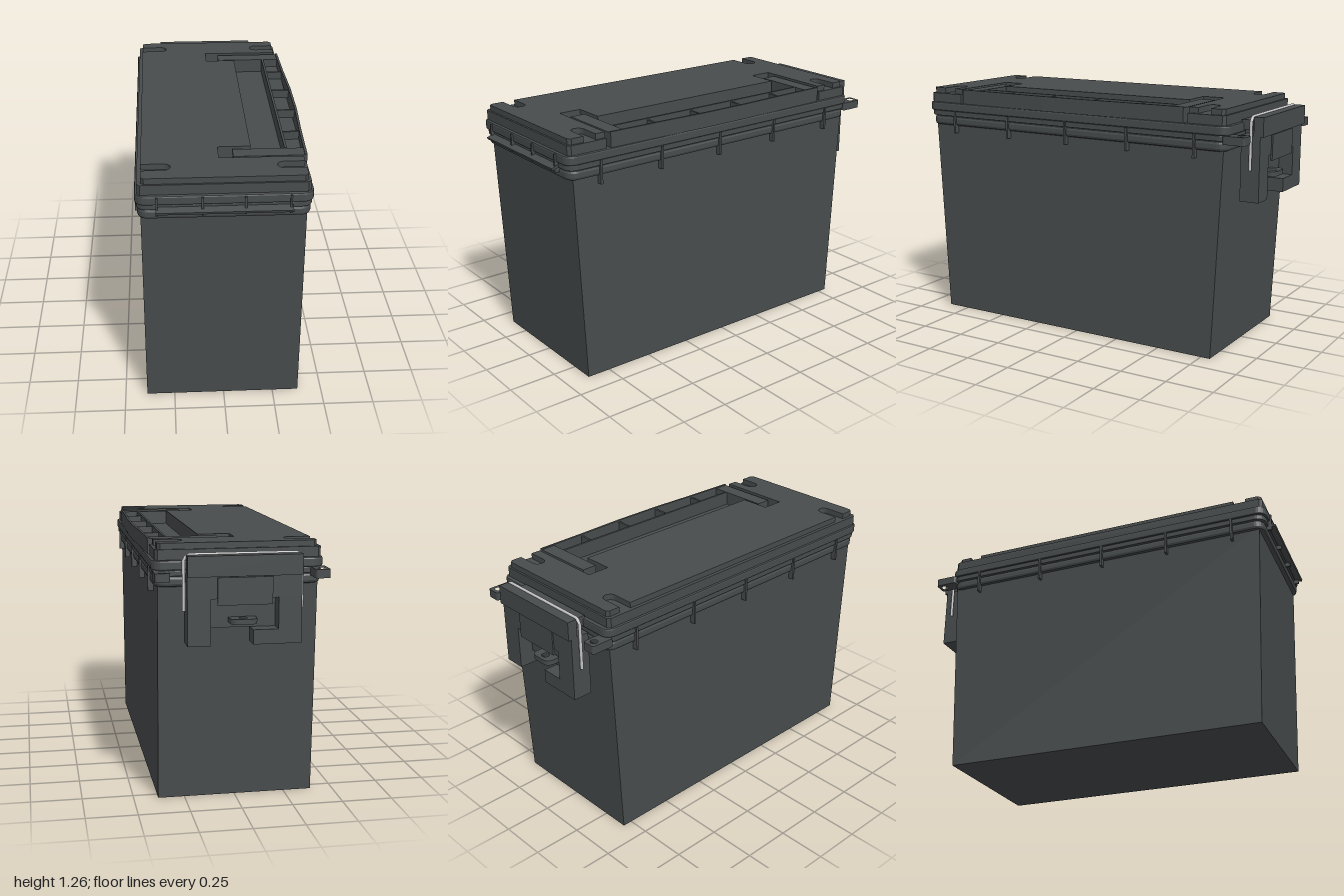
import * as THREE from 'three';

export function createModel() {
  const model = new THREE.Group();
  const plastic = new THREE.MeshStandardMaterial({ color: 0x484c4d });
  plastic.name = 'dark grey plastic';
  const steel = new THREE.MeshStandardMaterial({ color: 0xc8c8c8 });
  steel.name = 'bright steel';

  const add = (name, geometry, parent = model, material = plastic) => {
    const mesh = new THREE.Mesh(geometry, material);
    mesh.name = name;
    parent.add(mesh);
    return mesh;
  };
  const group = (name) => {
    const g = new THREE.Group();
    g.name = name;
    model.add(g);
    return g;
  };
  // box given by its limits
  const box = (name, x0, x1, y0, y1, z0, z1, parent) => {
    const m = add(name, new THREE.BoxGeometry(x1 - x0, y1 - y0, z1 - z0), parent);
    m.position.set((x0 + x1) / 2, (y0 + y1) / 2, (z0 + z1) / 2);
    return m;
  };
  // horizontal slab from an (x, z) outline
  const slab = (name, pts, y0, y1, bevel = 0, parent = model, holes = []) => {
    const flip = (list) => list.map(([x, z]) => new THREE.Vector2(x, -z));
    const shape = new THREE.Shape(flip(pts));
    holes.forEach((h) => shape.holes.push(new THREE.Path(flip(h))));
    const geo = new THREE.ExtrudeGeometry(shape, {
      depth: y1 - y0 - 2 * bevel, bevelEnabled: bevel > 0, bevelThickness: bevel,
      bevelSize: bevel, bevelOffset: -bevel, bevelSegments: 2,
    });
    geo.rotateX(-Math.PI / 2).translate(0, y0 + bevel, 0);
    return add(name, geo, parent);
  };
  const arc = (cx, cz, r, a0, a1, n = 6) => Array.from({ length: n + 1 }, (_, i) => {
    const a = a0 + ((a1 - a0) * i) / n;
    return [cx + r * Math.cos(a), cz + r * Math.sin(a)];
  });
  const rounded = (x0, x1, z0, z1, r) => {
    const q = Math.PI / 2;
    return [
      ...arc(x1 - r, z1 - r, r, 0, q), ...arc(x0 + r, z1 - r, r, q, 2 * q),
      ...arc(x0 + r, z0 + r, r, 2 * q, 3 * q), ...arc(x1 - r, z0 + r, r, 3 * q, 4 * q),
    ];
  };

  // body, tapered towards the base along z
  const body = new THREE.BoxGeometry(0.77, 1.08, 1);
  body.translate(-0.005, 0.54, 0);
  const p = body.attributes.position;
  for (let i = 0; i < p.count; i++) {
    const t = p.getY(i) / 1.08;
    p.setZ(i, p.getZ(i) > 0 ? 0.875 + 0.05 * t : -0.8 - 0.05 * t);
  }
  body.computeVertexNormals();
  add('body', body);

  // stacked rim and lid skirt
  slab('bodyRim', rounded(-0.405, 0.397, -0.868, 0.95, 0.05), 1.06, 1.112, 0.015);
  slab('rimSeam', rounded(-0.41, 0.402, -0.874, 0.957, 0.05), 1.112, 1.14, 0.004);
  slab('lidSkirt', rounded(-0.416, 0.408, -0.88, 0.966, 0.05), 1.14, 1.187, 0.008);

  // raised lid deck, cut away around the carrying handle
  const cutout = (x1) => [
    [x1, -0.66], [-0.02, -0.66], [-0.02, -0.54], [0.14, -0.54],
    [0.14, 0.62], [-0.02, 0.62], [-0.02, 0.74], [x1, 0.74],
  ];
  const slot = (x, zc, dir) => {
    const s = Math.sign(x), r = 0.033, cx = s * 0.28;
    const mid = arc(0, 0, r, -Math.PI / 2, Math.PI / 2, 8).map(([a, b]) => [cx - s * a, zc + b]);
    const pts = [[x, zc - r], ...mid, [x, zc + r]];
    return dir > 0 ? pts : pts.reverse();
  };
  const deck = (x0, x1, z0, z1, slots) => {
    const c = 0.015;
    return [
      [x0, z0 + c], [x0 + c, z0], [x1 - c, z0], [x1, z0 + c],
      ...(slots ? slot(x1, -0.745, 1) : []), ...cutout(x1), ...(slots ? slot(x1, 0.825, 1) : []),
      [x1, z1 - c], [x1 - c, z1], [x0 + c, z1], [x0, z1 - c],
      ...(slots ? [...slot(x0, 0.825, -1), ...slot(x0, -0.745, -1)] : []),
    ];
  };
  slab('lidDeckLower', deck(-0.404, 0.393, -0.86, 0.95, false), 1.187, 1.236);
  slab('lidDeckUpper', deck(-0.386, 0.38, -0.85, 0.94, true), 1.236, 1.265);

  // folding handle: ribbed channel with two arms
  const handle = group('handle');
  const bow = (off) => [[0.4, -0.64], [0.406, -0.36], [0.416, -0.1], [0.416, 0.18], [0.406, 0.44], [0.4, 0.72]]
    .map(([x, z]) => [x - off, z]);
  slab('handleOuterWall', [...bow(0), ...bow(0.012).reverse()], 1.187, 1.265, 0, handle);
  box('handleInnerWall', 0.3, 0.312, 1.187, 1.262, -0.56, 0.64, handle);
  box('handleFloor', 0.31, 0.395, 1.187, 1.215, -0.6, 0.68, handle);
  for (const z of [-0.37, -0.1, 0.17, 0.44]) {
    box('handleRib', 0.31, 0.404, 1.21, 1.256, z - 0.006, z + 0.006, handle);
  }
  for (const z of [-0.6, 0.68]) {
    box('handleArm', 0.05, 0.4, 1.187, 1.26, z - 0.04, z + 0.04, handle);
    box('handlePivot', -0.015, 0.06, 1.187, 1.21, z - 0.02, z + 0.02, handle);
  }

  // stiffening ribs under the rim on both long sides
  for (const z of [0.78, 0.42, 0.05, -0.32, -0.7]) {
    box('rightRimRib', 0.37, 0.408, 1.02, 1.14, z - 0.006, z + 0.006);
    box('leftRimRib', -0.418, -0.38, 1.02, 1.14, z - 0.006, z + 0.006);
  }

  // front hinge: sloping lip and short ribs
  const hinge = group('frontHinge');
  const lip = box('hingeLip', -0.32, 0.31, 1.113, 1.125, 0.935, 0.995, hinge);
  lip.rotation.x = 0.3;
  for (const x of [-0.315, -0.105, 0.092, 0.3]) {
    box('hingeRib', x - 0.005, x + 0.005, 1.09, 1.18, 0.94, 0.975, hinge);
  }

  // padlock lugs at the back corners
  for (const x of [-0.385, 0.37]) {
    const hole = arc(x, -0.935, 0.018, 0, Math.PI * 2, 16).slice(0, -1);
    slab('lockLug', rounded(x - 0.036, x + 0.036, -0.97, -0.85, 0.012), 1.1, 1.142, 0, model, [hole]);
  }

  // catch on the back of the lid
  box('lidCatch', -0.24, 0.22, 1.15, 1.2, -0.93, -0.87);
  for (const x of [-0.2, -0.08, 0.05, 0.18]) box('catchRib', x - 0.006, x + 0.006, 1.1, 1.19, -0.92, -0.86);

  // back latch
  const latch = group('latch');
  box('latchBar', -0.28, 0.26, 1.125, 1.222, -1, -0.95, latch);
  box('latchBridge', -0.28, 0.26, 1.02, 1.13, -0.985, -0.885, latch);
  box('latchArm', 0.15, 0.26, 0.8, 1.03, -0.985, -0.885, latch);
  box('latchArm', -0.28, -0.17, 0.8, 1.03, -0.985, -0.885, latch);
  box('latchFoot', -0.18, -0.05, 0.8, 0.87, -0.985, -0.885, latch);
  box('latchBackPlate', -0.18, 0.16, 0.87, 1.03, -0.91, -0.89, latch);
  box('latchPanel', -0.14, 0.12, 0.99, 1.12, -0.992, -0.98, latch);
  const eye = arc(-0.01, -0.945, 0.02, 0, Math.PI * 2, 16).slice(0, -1);
  slab('latchTab', rounded(-0.075, 0.055, -0.983, -0.84, 0.035), 0.895, 0.92, 0, latch, [eye]);

  // steel bail over the latch
  const wire = [[-0.29, 0.96], [-0.29, 1.2], [-0.27, 1.222], [0.25, 1.222], [0.27, 1.2], [0.27, 0.96]];
  const path = new THREE.CurvePath();
  for (let i = 1; i < wire.length; i++) {
    const [a, b] = [wire[i - 1], wire[i]].map(([x, y]) => new THREE.Vector3(x, y, -0.94));
    path.add(new THREE.LineCurve3(a, b));
  }
  add('latchWire', new THREE.TubeGeometry(path, 80, 0.008, 8), latch, steel);

  return model;
}
